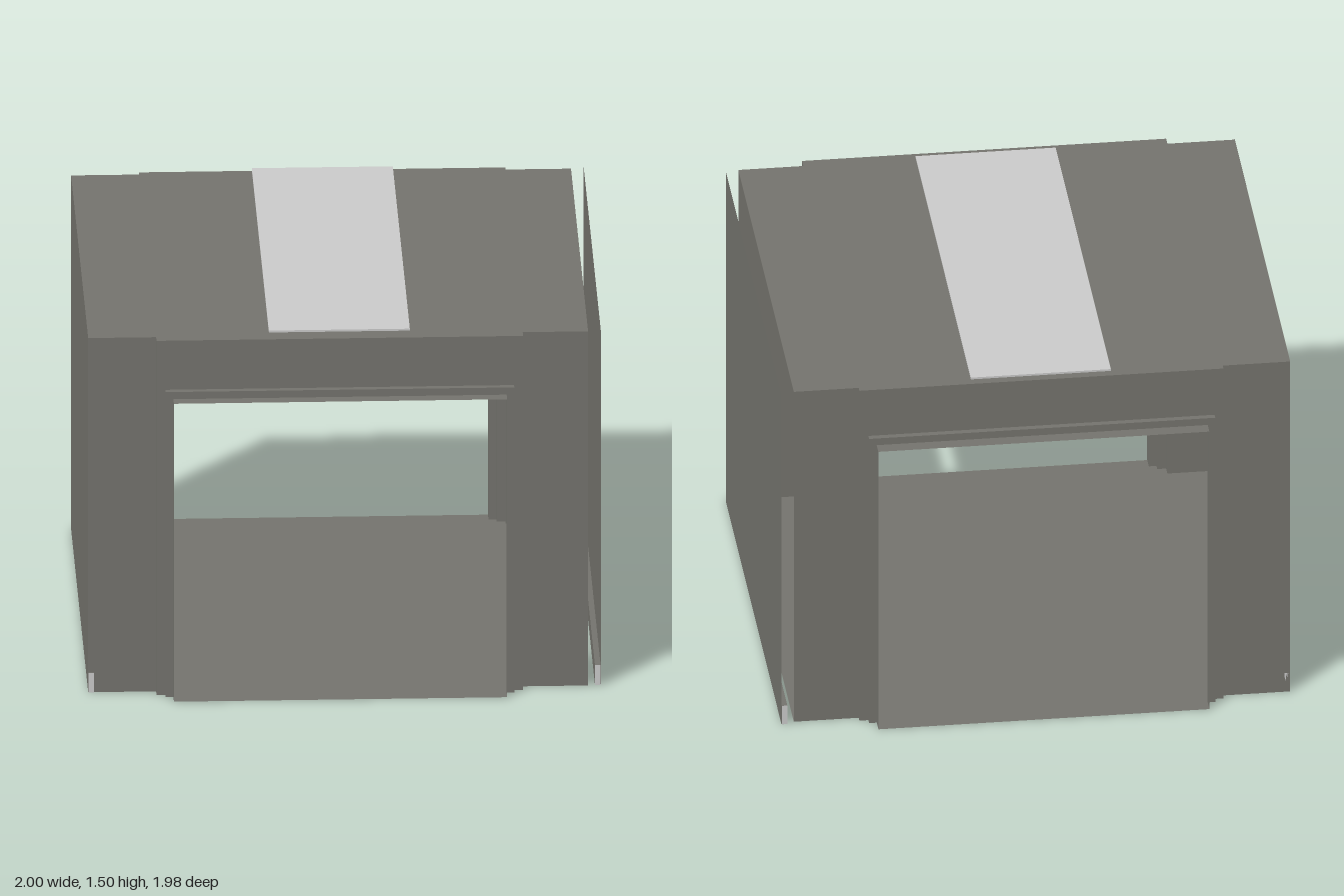
import * as THREE from 'three';

const panelGrey = new THREE.MeshStandardMaterial({ color: 0x74736d, side: THREE.DoubleSide });
panelGrey.name = 'panel grey';
const lightGrey = new THREE.MeshStandardMaterial({ color: 0xcacaca });
lightGrey.name = 'light grey';

const CX = -0.02; // centre of the doorway
const LEFT = 0.95, RIGHT = -1, HEIGHT = 1.48;

// Doorway steps as [half width, height, z], from the room outwards
const frontSteps = [
  [0.715, 1.48, 0.87], [0.715, 1.48, 0.91], [0.68, 1.275, 0.91],
  [0.68, 1.275, 0.935], [0.65, 1.245, 0.935], [0.65, 1.245, 0.985],
];
const backZ = [-0.89, -0.913, -0.913, -0.937, -0.937, -0.99];
const backSteps = frontSteps.map(([w, h], i) => [w, h, backZ[i]]);

export function createModel() {
  const model = new THREE.Group();
  model.name = 'corridorModule';

  function add(name, geometry, material, x = 0, y = 0, z = 0) {
    const mesh = new THREE.Mesh(geometry, material);
    mesh.name = name;
    mesh.position.set(x, y, z);
    model.add(mesh);
    return mesh;
  }

  function box(name, material, x0, x1, y0, y1, z0, z1) {
    return add(name, new THREE.BoxGeometry(x1 - x0, y1 - y0, z1 - z0), material,
      (x0 + x1) / 2, (y0 + y1) / 2, (z0 + z1) / 2);
  }

  // Stepped sheet-metal doorway: arches joined in sequence
  function portal(name, steps, front) {
    const arches = steps.map(([w, h, z]) =>
      [[CX - w, 0, z], [CX - w, h, z], [CX + w, h, z], [CX + w, 0, z]]);
    const pos = [];
    for (let i = 0; i < arches.length - 1; i++) {
      for (let j = 0; j < 3; j++) {
        const a = arches[i][j], b = arches[i][j + 1];
        const c = arches[i + 1][j + 1], d = arches[i + 1][j];
        const corners = front ? [a, d, c, a, c, b] : [a, c, d, a, b, c];
        corners.forEach((p) => pos.push(...p));
      }
    }
    const geometry = new THREE.BufferGeometry();
    geometry.setAttribute('position', new THREE.Float32BufferAttribute(pos, 3));
    geometry.computeVertexNormals();
    add(name, geometry, panelGrey);
  }
  portal('frontDoorway', frontSteps, true);
  portal('backDoorway', backSteps, false);

  // Corner panels beside each doorway
  for (const [end, z, turn] of [['front', 0.87, 0], ['back', -0.89, Math.PI]]) {
    for (const [side, x0, x1] of [['Right', RIGHT, CX - 0.715], ['Left', CX + 0.715, LEFT]]) {
      const panel = add(end + side + 'CornerPanel', new THREE.PlaneGeometry(x1 - x0, HEIGHT),
        panelGrey, (x0 + x1) / 2, HEIGHT / 2, z);
      panel.rotation.y = turn;
    }
  }

  // Floor with the stepped outline of both doorways
  const outline = [[LEFT, 0.87]];
  for (const [w, , z] of frontSteps) outline.push([CX + w, z]);
  for (const [w, , z] of [...frontSteps].reverse()) outline.push([CX - w, z]);
  outline.push([RIGHT, 0.87], [RIGHT, -0.89]);
  for (const [w, , z] of backSteps) outline.push([CX - w, z]);
  for (const [w, , z] of [...backSteps].reverse()) outline.push([CX + w, z]);
  outline.push([LEFT, -0.89]);
  const floorShape = new THREE.Shape(outline.map(([x, z]) => new THREE.Vector2(x, -z)));
  add('floor', new THREE.ShapeGeometry(floorShape), panelGrey).rotation.x = -Math.PI / 2;

  // Roof sheet
  const roof = add('roof', new THREE.PlaneGeometry(LEFT - RIGHT, 1.76), panelGrey,
    (LEFT + RIGHT) / 2, HEIGHT, -0.01);
  roof.rotation.x = -Math.PI / 2;

  // Light strip: raised base, cover and ceiling diffuser
  box('lightStripBase', panelGrey, -0.285, 0.25, HEIGHT, 1.49, -0.82, 0.815);
  box('lightStripCover', lightGrey, -0.295, 0.255, 1.49, 1.498, -0.895, 0.862);
  box('ceilingDiffuser', lightGrey, -0.295, 0.255, 1.472, 1.478, -0.885, 0.862);

  // Side walls with skirting on the inside; the left wall stands clear of the shell
  for (const [side, s, z0, z1] of [['right', -1, -0.89, 0.875], ['left', 1, -0.905, 0.867]]) {
    const wall = add(side + 'Wall', new THREE.PlaneGeometry(z1 - z0, HEIGHT), panelGrey,
      s, HEIGHT / 2, (z0 + z1) / 2);
    wall.rotation.y = s * Math.PI / 2;
    const inner = s * 0.977, outer = s * 0.999;
    box(side + 'Skirting',
      [panelGrey, panelGrey, panelGrey, panelGrey, lightGrey, lightGrey],
      Math.min(inner, outer), Math.max(inner, outer), 0, 0.083, z0, z1);
  }

  return model;
}
